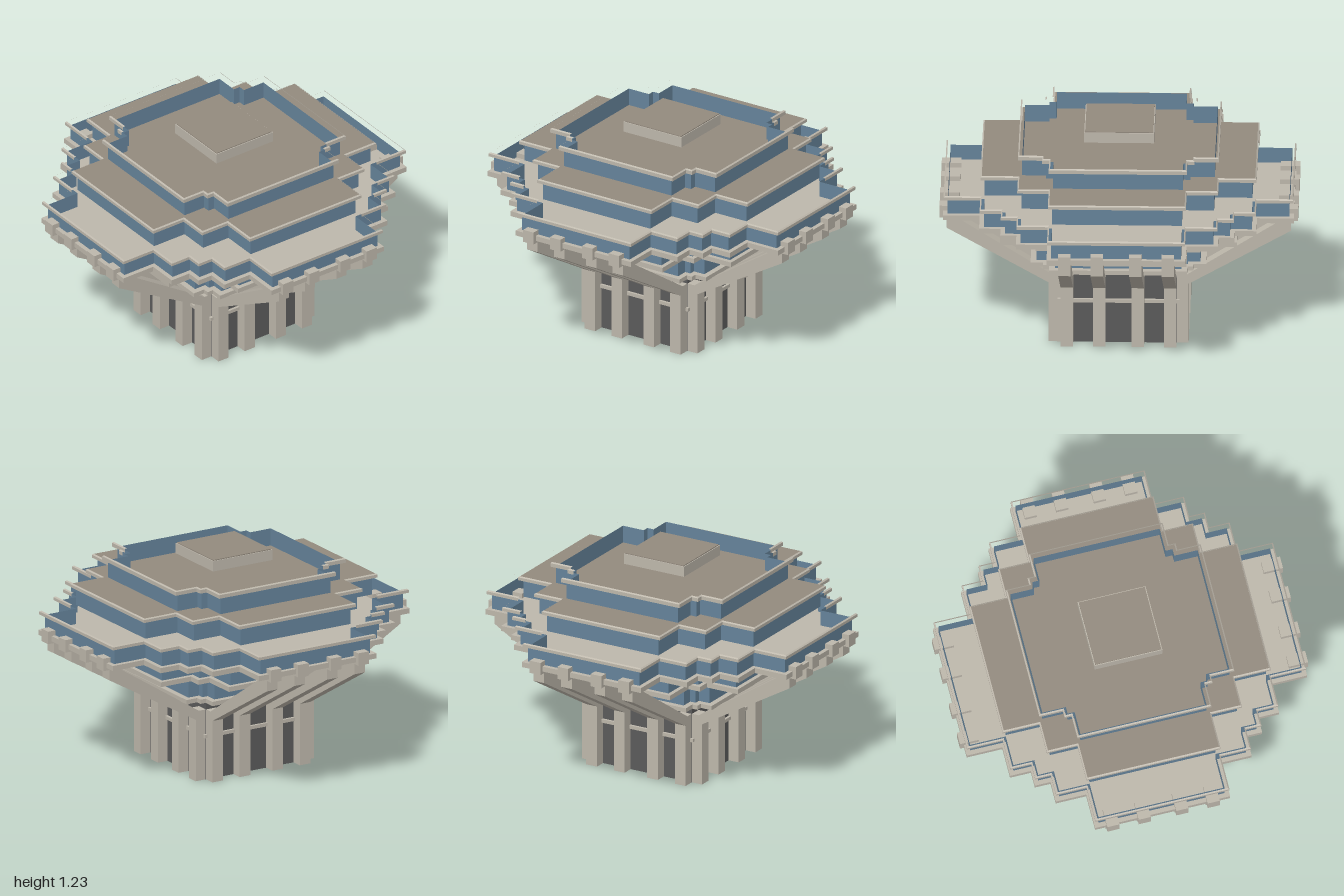
import * as THREE from 'three';

const mat = (name, color, side = THREE.FrontSide) => {
  const m = new THREE.MeshStandardMaterial({ color, side });
  m.name = name;
  return m;
};

// Stepped floor plan: corners of one quadrant (from +x to +z), grown by d and turned four times
function outline(corners, d = 0) {
  const quarter = [];
  corners.forEach(([x, z], i) => {
    quarter.push([x + d, z + d]);
    if (i < corners.length - 1) quarter.push([corners[i + 1][0] + d, z + d]);
  });
  const loop = [];
  for (let k = 0; k < 4; k++) {
    for (const [x, z] of quarter) {
      loop.push([[x, z], [-z, x], [-x, -z], [z, -x]][k]);
    }
  }
  return loop;
}

// Outward-facing strip between two matching loops at two heights
function band(low, y0, high, y1) {
  const pos = [];
  low.forEach((p, i) => {
    const j = (i + 1) % low.length;
    const a = [p[0], y0, p[1]], b = [high[i][0], y1, high[i][1]];
    const c = [high[j][0], y1, high[j][1]], d = [low[j][0], y0, low[j][1]];
    pos.push(...a, ...b, ...c, ...a, ...c, ...d);
  });
  const g = new THREE.BufferGeometry();
  g.setAttribute('position', new THREE.Float32BufferAttribute(pos, 3));
  g.computeVertexNormals();
  return g;
}

const toShape = (loop) => new THREE.Shape(loop.map(([x, y]) => new THREE.Vector2(x, y)));

// Solid floor plate from y0 to y1
function plate(loop, y0, y1) {
  return new THREE.ExtrudeGeometry(toShape(loop), { depth: y1 - y0, bevelEnabled: false })
    .rotateX(-Math.PI / 2).translate(0, y0, 0);
}

export function createModel() {
  const concrete = mat('concrete', 0xbdb7ab);
  const roofing = mat('roofing', 0x938a7e);
  const glass = mat('glass', 0x65839a, THREE.DoubleSide);
  const darkPanel = mat('darkPanel', 0x5b5b5b, THREE.DoubleSide);

  const model = new THREE.Group();
  const add = (name, geometry, material, parent = model) => {
    const mesh = new THREE.Mesh(geometry, material);
    mesh.name = name;
    parent.add(mesh);
    return mesh;
  };

  const plans = {
    top: [[0.56, 0.385], [0.425, 0.425], [0.385, 0.56]],
    upper: [[0.77, 0.385], [0.56, 0.56], [0.385, 0.77]],
    wide: [[0.975, 0.385], [0.77, 0.56], [0.65, 0.65], [0.56, 0.77], [0.385, 0.975]],
    lower: [[0.66, 0.385], [0.46, 0.46], [0.385, 0.66]],
    bottom: [[0.49, 0.385], [0.42, 0.42], [0.385, 0.49]],
  };

  // Glass walls with a thin chamfered rim around their top
  const tiers = [
    ['wideTier', plans.wide, 0.795, 0.885, 0.908],
    ['upperTier', plans.upper, 0.908, 1.01, 1.033],
    ['topTier', plans.top, 1.033, 1.133, 1.16],
  ];
  for (const [name, plan, y0, y1, y2] of tiers) {
    const tier = new THREE.Group();
    tier.name = name;
    model.add(tier);
    const wall = outline(plan, -0.023), edge = outline(plan), inner = outline(plan, -0.008);
    add('glassWall', band(wall, y0, wall, y1), glass, tier);
    add('rimBand', band(edge, y1, edge, y2 - 0.006), concrete, tier);
    add('rimChamfer', band(edge, y2 - 0.006, inner, y2), concrete, tier);
  }

  // Roof deck and the raised block above it
  add('roofDeck', plate(outline(plans.upper, -0.008), 1.022, 1.032), roofing);
  const blockSide = new THREE.BoxGeometry(0.39, 0.06, 0.39);
  add('roofBlock', blockSide, concrete).position.y = 1.19;
  add('roofBlockTop', new THREE.BoxGeometry(0.38, 0.006, 0.38), roofing).position.y = 1.222;

  // Main floor plate and the two shrinking tiers below it
  add('mainFloor', plate(outline(plans.wide, 0.003), 0.765, 0.795), concrete);
  const lowWall = outline(plans.lower, -0.025), bottomWall = outline(plans.bottom, -0.033);
  add('lowerWall', band(lowWall, 0.643, lowWall, 0.766), glass);
  add('lowerFloor', plate(outline(plans.lower), 0.615, 0.643), concrete);
  add('bottomWall', band(bottomWall, 0.51, bottomWall, 0.616), glass);
  add('bottomFloor', plate(outline(plans.bottom), 0.485, 0.51), concrete);

  // Hollow core, open underneath, with an inner floor showing as ledges
  const core = outline([[0.325, 0.325]]);
  add('core', band(core, 0, core, 0.486), darkPanel);
  add('coreFloor', new THREE.BoxGeometry(0.68, 0.02, 0.68), concrete).position.y = 0.257;

  // Columns that bend outwards into sloping struts, four on each side
  const profile = [
    [0.32, 0], [0.39, 0], [0.39, 0.36], [0.96, 0.69], [0.96, 0.745],
    [0.96, 0.766], [0.89, 0.766], [0.89, 0.745], [0.37, 0.41], [0.32, 0.41],
  ];
  const strutGeo = new THREE.ExtrudeGeometry(toShape(profile), { depth: 0.07, bevelEnabled: false })
    .translate(0, 0, -0.035);
  const capGeo = new THREE.BoxGeometry(0.11, 0.073, 0.07).translate(0.945, 0.787, 0);
  for (let k = 0; k < 4; k++) {
    const side = new THREE.Group();
    side.name = 'strutRow';
    side.rotation.y = k * Math.PI / 2;
    model.add(side);
    for (const offset of [-0.288, -0.108, 0.108, 0.288]) {
      add('columnAndStrut', strutGeo, concrete, side).position.z = offset;
      add('strutCap', capGeo, concrete, side).position.z = offset;
    }
  }
  return model;
}
